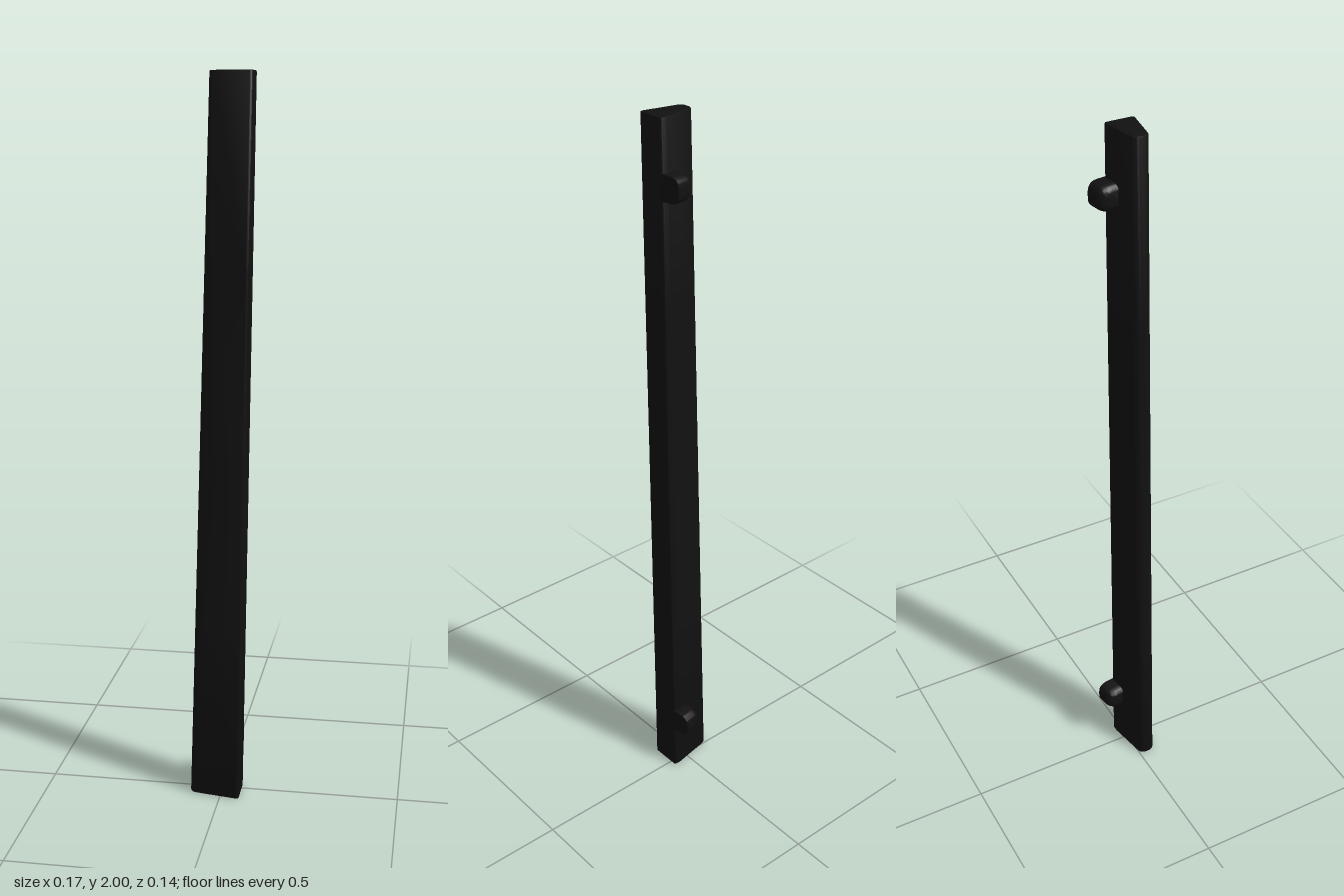
import * as THREE from 'three';
import { toCreasedNormals } from 'three/addons/utils/BufferGeometryUtils.js';

const material = new THREE.MeshStandardMaterial({ color: 0x111111 });

// Wedge section with a rounded thin edge, extruded upright, then tapered and leaned
function makeBar() {
  const s = new THREE.Shape();
  s.moveTo(0.05, 0.045);
  s.lineTo(-0.052, 0.026);
  s.quadraticCurveTo(-0.069, 0.023, -0.0715, 0.008);
  s.lineTo(-0.0715, -0.008);
  s.quadraticCurveTo(-0.069, -0.023, -0.052, -0.026);
  s.lineTo(0.062, -0.045);
  s.quadraticCurveTo(0.0715, -0.046, 0.0715, -0.037);
  s.lineTo(0.0715, 0.037);
  s.quadraticCurveTo(0.0715, 0.046, 0.062, 0.045);
  s.closePath();
  const bevel = 0.004;
  const g = new THREE.ExtrudeGeometry(s, {
    depth: 2 - 2 * bevel, curveSegments: 6, steps: 4,
    bevelEnabled: true, bevelSize: bevel, bevelThickness: bevel, bevelOffset: -bevel, bevelSegments: 2
  });
  g.translate(0, 0, bevel);
  g.rotateX(-Math.PI / 2);
  const p = g.attributes.position;
  for (let i = 0; i < p.count; i++) {
    const t = p.getY(i) / 2;
    p.setX(i, p.getX(i) * (1 - 0.19 * t) - 0.0165 + 0.044 * t);
    p.setZ(i, p.getZ(i) * (1 - 0.11 * t) + 0.025 - 0.001 * t);
  }
  return toCreasedNormals(g, 0.6);
}

// D-shaped peg: flat on the +x end, rounded over towards -x
function makePeg() {
  const s = new THREE.Shape();
  const h = 0.034, d = 0.05, r = 0.027;
  s.moveTo(0.01, -h);
  s.lineTo(-d + r, -h);
  s.quadraticCurveTo(-d, -h, -d, -h + r);
  s.lineTo(-d, h - r);
  s.quadraticCurveTo(-d, h, -d + r, h);
  s.lineTo(0.01, h);
  const ring = s.getPoints(8);
  const stations = [[0, 1], [-0.034, 1], [-0.043, 0.96], [-0.05, 0.87], [-0.055, 0.73], [-0.057, 0.55]];
  const pos = [], idx = [], n = ring.length;
  for (const [x, k] of stations)
    for (const q of ring) pos.push(x, q.y * k, q.x > 0 ? q.x : q.x * k);
  for (let j = 0; j < stations.length - 1; j++)
    for (let i = 0; i < n; i++) {
      const a = j * n + i, b = j * n + (i + 1) % n;
      idx.push(a, b, a + n, b, b + n, a + n);
    }
  // end caps
  const last = (stations.length - 1) * n;
  for (let i = 1; i < n - 1; i++) {
    idx.push(0, i + 1, i);
    idx.push(last, last + i, last + i + 1);
  }
  const g = new THREE.BufferGeometry();
  g.setAttribute('position', new THREE.Float32BufferAttribute(pos, 3));
  // outward winding check by signed volume
  let v = 0;
  const P = i => new THREE.Vector3(pos[3 * i], pos[3 * i + 1], pos[3 * i + 2]);
  for (let i = 0; i < idx.length; i += 3) v += P(idx[i]).dot(P(idx[i + 1]).cross(P(idx[i + 2])));
  if (v < 0) idx.reverse();
  g.setIndex(idx);
  return toCreasedNormals(g, 0.7);
}

export function createModel() {
  const group = new THREE.Group();
  group.name = 'pullHandle';

  const bar = new THREE.Mesh(makeBar(), material);
  bar.name = 'bar';
  group.add(bar);

  // mounting pegs on the back face, turned to sit square on it
  const pegGeometry = makePeg();
  for (const [name, x, y, z] of [['lowerPeg', 0.057, 0.177, -0.021], ['upperPeg', 0.082, 1.83, -0.017]]) {
    const peg = new THREE.Mesh(pegGeometry, material);
    peg.name = name;
    peg.position.set(x, y, z);
    peg.rotation.y = 0.15;
    group.add(peg);
  }
  return group;
}
